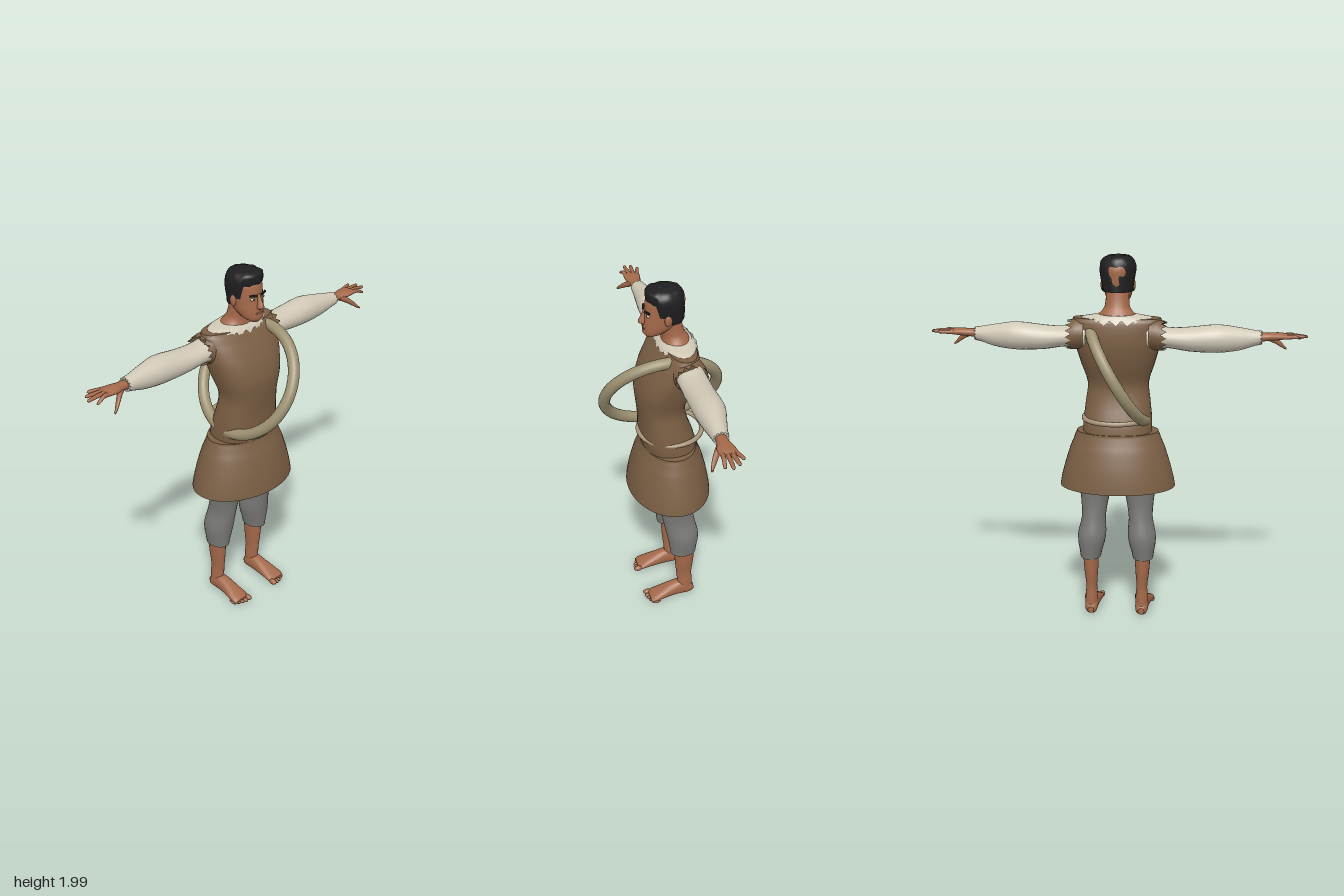
import * as THREE from 'three';

const mat = (name, color, side = THREE.FrontSide) => {
  const m = new THREE.MeshStandardMaterial({ color, side });
  m.name = name;
  return m;
};

// Smooth skin through elliptical sections [t, a, b, ra, rb] with t ascending along the axis.
// axis y: a = x, b = z; axis x: a = y, b = z; axis z: a = x, b = y.
function loft(axis, sections, { n = 20, steps = 3, power = 2, capStart = true, capEnd = true, warp } = {}) {
  const rows = [];
  const cr = (p0, p1, p2, p3, u) => 0.5 * (2 * p1 + (p2 - p0) * u +
    (2 * p0 - 5 * p1 + 4 * p2 - p3) * u * u + (3 * p1 - p0 - 3 * p2 + p3) * u * u * u);
  const last = sections.length - 1;
  for (let i = 0; i < last; i++) {
    const [s0, s1, s2, s3] = [Math.max(i - 1, 0), i, i + 1, Math.min(i + 2, last)].map(k => sections[k]);
    for (let k = 0; k < steps; k++) {
      const u = k / steps;
      rows.push(s1.map((v, c) => c === 0 ? v + (s2[0] - v) * u : cr(s0[c], v, s2[c], s3[c], u)));
    }
  }
  rows.push(sections[last]);
  const pos = [], idx = [];
  const pw = v => Math.sign(v) * Math.pow(Math.abs(v), 2 / power);
  const place = (t, a, b) => axis === 'y' ? [a, t, b] : axis === 'x' ? [t, a, b] : [a, b, t];
  rows.forEach(([t, a, b, ra, rb], i) => {
    for (let j = 0; j < n; j++) {
      const th = j / n * Math.PI * 2;
      const c = pw(Math.cos(th)), s = pw(Math.sin(th));
      let p = axis === 'y' ? place(t, a + ra * s, b + rb * c) : place(t, a + ra * c, b + rb * s);
      if (warp) p = warp(p, th, i / (rows.length - 1), j);
      pos.push(...p);
    }
  });
  for (let i = 0; i < rows.length - 1; i++) for (let j = 0; j < n; j++) {
    const k = (j + 1) % n, A = i * n + j, B = i * n + k, C = B + n, D = A + n;
    idx.push(A, B, C, A, C, D);
  }
  const cap = (row, flip) => {
    const r = rows[row], base = pos.length / 3;
    for (let j = 0; j < n; j++) pos.push(...pos.slice((row * n + j) * 3, (row * n + j) * 3 + 3));
    pos.push(...place(r[0], r[1], r[2]));
    for (let j = 0; j < n; j++) {
      const a = base + j, b = base + (j + 1) % n;
      idx.push(base + n, flip ? b : a, flip ? a : b);
    }
  };
  if (capStart) cap(0, true);
  if (capEnd) cap(rows.length - 1, false);
  const g = new THREE.BufferGeometry();
  g.setAttribute('position', new THREE.Float32BufferAttribute(pos, 3));
  g.setIndex(idx);
  g.computeVertexNormals();
  return g;
}

// Reflects a geometry across x = 0 and restores its winding
function mirrored(geo) {
  const g = geo.clone(), p = g.attributes.position, ix = g.index.array;
  for (let i = 0; i < p.count; i++) p.setX(i, -p.getX(i));
  for (let i = 0; i < ix.length; i += 3) [ix[i], ix[i + 1]] = [ix[i + 1], ix[i]];
  g.computeVertexNormals();
  return g;
}

const ball = (x, y, z, rx, ry, rz) => new THREE.SphereGeometry(1, 14, 10).scale(rx, ry, rz).translate(x, y, z);

export function createModel() {
  const model = new THREE.Group();
  model.name = 'barefootVillager';
  const skin = mat('skin', 0xa4694a), hairMat = mat('hair', 0x1f1f21, THREE.DoubleSide);
  const tunicMat = mat('brownCloth', 0x7b5f44, THREE.DoubleSide);
  const linen = mat('linen', 0xd0c8b6, THREE.DoubleSide), grey = mat('greyCloth', 0x7a7a77);
  const rope = mat('rope', 0x9c9070), belt = mat('belt', 0xa8967a);
  const eyeWhite = mat('eyeWhite', 0xd8d0c8), lip = mat('lips', 0x84493a);
  const add = (name, geo, m) => {
    const mesh = new THREE.Mesh(geo, m);
    mesh.name = name;
    model.add(mesh);
  };
  const pair = (name, geo, m) => {
    add(name + 'Left', geo, m);
    add(name + 'Right', mirrored(geo), m);
  };

  // Tunic body and flared skirt
  add('tunic', loft('y', [
    [1.02, 0, -0.04, 0.185, 0.143], [1.1, 0, -0.027, 0.185, 0.143], [1.2, 0, -0.008, 0.175, 0.127],
    [1.3, 0, 0.005, 0.165, 0.125], [1.4, 0, -0.01, 0.195, 0.145], [1.5, 0, -0.037, 0.222, 0.143],
    [1.58, 0, -0.06, 0.235, 0.123], [1.64, 0, -0.078, 0.24, 0.098], [1.662, 0, -0.082, 0.232, 0.082],
  ], { n: 36, power: 2.4 }), tunicMat);
  add('skirt', loft('y', [
    [0.735, 0, -0.04, 0.315, 0.225], [0.85, 0, -0.04, 0.289, 0.207], [0.95, 0, -0.04, 0.258, 0.18],
    [1.02, 0, -0.04, 0.23, 0.153], [1.042, 0, -0.04, 0.222, 0.148],
  ], { n: 40, capStart: false }), tunicMat);

  // Ragged armholes and collar
  pair('armhole', loft('x', [
    [0.17, 1.58, -0.09, 0.078, 0.088], [0.215, 1.576, -0.093, 0.083, 0.09], [0.25, 1.57, -0.095, 0.076, 0.086],
  ], { n: 28, capStart: false, capEnd: false,
    warp: (p, th, f, j) => [p[0] + (f === 1 ? (j % 2 ? 0.016 : -0.016) : 0), p[1], p[2]] }), tunicMat);
  add('collar', loft('y', [
    [1.645, 0, -0.08, 0.2, 0.104], [1.668, 0, -0.082, 0.18, 0.088], [1.68, 0, -0.085, 0.11, 0.074],
  ], { n: 40, steps: 2, capStart: false,
    warp: (p, th, f, j) => [p[0], p[1] + (f === 0 ? (j % 2 ? 0.012 : -0.012) : 0), p[2]] }), linen);

  // Sleeves
  pair('sleeve', loft('x', [
    [0.16, 1.57, -0.095, 0.07, 0.075], [0.27, 1.562, -0.098, 0.054, 0.078], [0.38, 1.556, -0.1, 0.064, 0.078],
    [0.53, 1.561, -0.1, 0.074, 0.078], [0.65, 1.56, -0.09, 0.059, 0.056], [0.755, 1.566, -0.08, 0.035, 0.04],
  ], { n: 24, warp: (p, th, f, j) => [p[0] + (f === 1 ? (j % 2 ? 0.006 : -0.006) : 0), p[1], p[2]] }), linen);

  // Hands with fingers and thumb
  pair('hand', loft('x', [
    [0.73, 1.567, -0.08, 0.026, 0.029], [0.79, 1.57, -0.076, 0.021, 0.031],
    [0.84, 1.573, -0.073, 0.02, 0.045], [0.885, 1.575, -0.076, 0.014, 0.046], [0.9, 1.575, -0.077, 0.007, 0.036],
  ], { n: 16 }), skin);
  const fingers = [[0.965, 1.558, -0.033, -0.044], [0.998, 1.572, -0.062, -0.066],
    [0.985, 1.577, -0.095, -0.088], [0.95, 1.578, -0.126, -0.108]];
  fingers.forEach(([x, y, z, z0], i) => pair('finger' + (i + 1), loft('x', [
    [0.87, 1.574, z0, 0.012, 0.012], [(0.87 + x) / 2, 1.577, (z + z0) / 2, 0.0105, 0.011],
    [x - 0.008, y, z, 0.008, 0.009], [x, y - 0.001, z, 0.003, 0.003],
  ], { n: 10 }), skin));
  pair('thumb', loft('x', [
    [0.79, 1.562, -0.06, 0.016, 0.017], [0.83, 1.545, -0.035, 0.018, 0.017],
    [0.865, 1.517, -0.01, 0.013, 0.013], [0.892, 1.494, 0.006, 0.006, 0.006],
  ], { n: 10 }), skin);

  // Trousers, shins and feet
  pair('trouserLeg', loft('y', [
    [0.33, 0.145, -0.092, 0.056, 0.073], [0.45, 0.138, -0.09, 0.078, 0.09], [0.55, 0.13, -0.07, 0.066, 0.089],
    [0.64, 0.125, -0.055, 0.074, 0.092], [0.73, 0.12, -0.043, 0.09, 0.108], [0.92, 0.112, -0.04, 0.105, 0.12],
  ], { n: 24 }), grey);
  pair('shin', loft('y', [
    [0.03, 0.141, -0.105, 0.034, 0.045], [0.1, 0.14, -0.105, 0.034, 0.044], [0.16, 0.14, -0.1, 0.03, 0.045],
    [0.25, 0.142, -0.1, 0.038, 0.054], [0.345, 0.143, -0.1, 0.043, 0.058],
  ]), skin);
  pair('foot', loft('z', [
    [-0.157, 0.14, 0.03, 0.016, 0.018], [-0.135, 0.14, 0.04, 0.033, 0.037], [-0.08, 0.14, 0.05, 0.037, 0.049],
    [-0.02, 0.14, 0.043, 0.042, 0.042], [0.04, 0.143, 0.031, 0.05, 0.03], [0.085, 0.144, 0.021, 0.054, 0.02],
    [0.108, 0.144, 0.015, 0.046, 0.013],
  ], { power: 2.3 }), skin);
  for (let i = 0; i < 5; i++) {
    const r = i ? 0.0115 - i * 0.0006 : 0.016;
    pair('toe' + (i + 1), ball(0.106 + i * 0.0215 - (i ? 0 : 0.003), r, 0.11 - i * i * 0.002, r, r, 0.026), skin);
  }

  // Neck and head
  add('neck', loft('y', [
    [1.655, 0, -0.08, 0.135, 0.078], [1.685, 0, -0.075, 0.09, 0.07], [1.72, 0, -0.063, 0.066, 0.06],
    [1.8, 0, -0.045, 0.06, 0.06],
  ]), skin);
  add('head', loft('y', [
    [1.713, 0, 0.055, 0.026, 0.024], [1.732, 0, 0.037, 0.052, 0.057], [1.77, 0, 0.008, 0.07, 0.087],
    [1.82, 0, -0.014, 0.078, 0.104], [1.87, 0, -0.02, 0.081, 0.104], [1.92, 0, -0.025, 0.08, 0.1],
    [1.965, 0, -0.03, 0.055, 0.07],
  ], { n: 28 }), skin);
  add('nose', loft('y', [
    [1.786, 0, 0.09, 0.014, 0.012], [1.797, 0, 0.094, 0.019, 0.025], [1.83, 0, 0.086, 0.012, 0.019],
    [1.868, 0, 0.078, 0.01, 0.011],
  ], { n: 14 }), skin);
  add('mouth', ball(0, 1.765, 0.09, 0.026, 0.007, 0.007), lip);
  pair('ear', ball(0.082, 1.825, -0.018, 0.011, 0.032, 0.02), skin);
  pair('eye', ball(0.034, 1.842, 0.074, 0.015, 0.007, 0.009), eyeWhite);
  pair('iris', ball(0.034, 1.842, 0.08, 0.006, 0.006, 0.005), hairMat);
  pair('eyebrow', new THREE.BoxGeometry(0.04, 0.009, 0.009).rotateZ(0.12).rotateY(0.32)
    .translate(0.036, 1.863, 0.081), hairMat);

  // Hair: wavy cap, high at the brow and low at the nape, with tufts on top
  add('hair', loft('y', [
    [1.8, 0, -0.023, 0.083, 0.098], [1.85, 0, -0.022, 0.09, 0.1], [1.9, 0, -0.022, 0.096, 0.1],
    [1.94, 0, -0.022, 0.09, 0.096], [1.97, 0, -0.025, 0.068, 0.076], [1.983, 0, -0.03, 0.03, 0.035],
  ], { n: 36, capStart: false, warp: ([x, y, z], th) => {
    const front = Math.cos(th);
    const low = front > 0.55 ? 1.908 : front > -0.1 ? 1.84 : 1.795;
    const u = (y - 1.8) / 0.183, wave = 1 + 0.02 * Math.sin(th * 9 + u * 7);
    return [x * wave, low + u * (1.983 - low), z * wave];
  } }), hairMat);
  for (let i = 0; i < 9; i++) {
    const a = i * 2.4, r = 0.02 + 0.0055 * i;
    add('hairTuft' + (i + 1), ball(Math.sin(a) * r, 1.962 - i * 0.0025, -0.02 + Math.cos(a) * r, 0.029, 0.024, 0.029), hairMat);
  }

  // Rope coil slung across the body, and the waist hoop
  add('ropeCoil', new THREE.TorusGeometry(0.305, 0.031, 14, 64).rotateY(Math.PI / 2)
    .rotateZ(-Math.PI / 6).translate(0, 1.36, 0), rope);
  add('waistHoop', new THREE.TorusGeometry(0.172, 0.0135, 10, 56).rotateX(Math.PI / 2)
    .translate(0.008, 1.115, -0.05), belt);
  return model;
}
